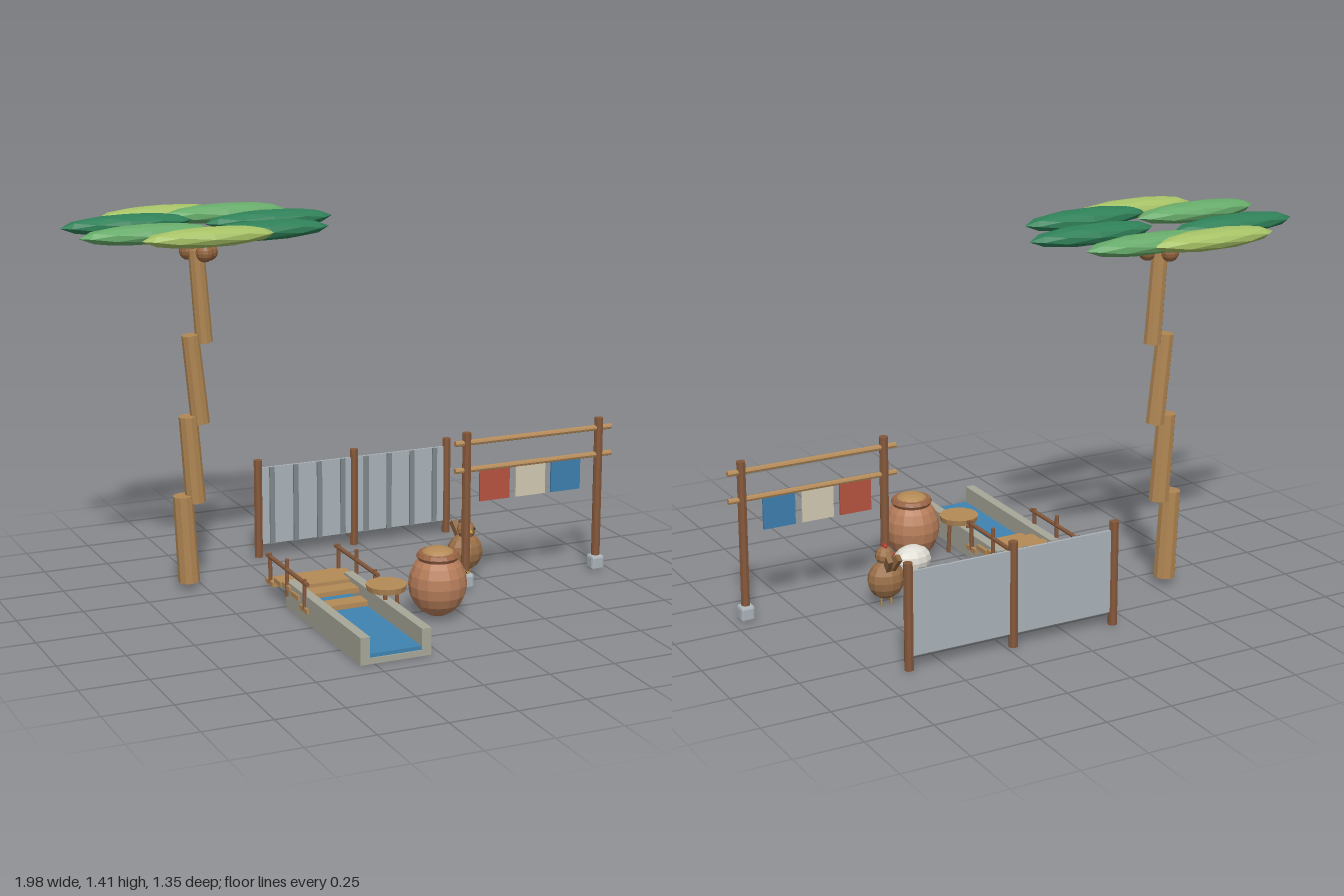
import * as THREE from 'three';
import { RoundedBoxGeometry } from 'three/addons/geometries/RoundedBoxGeometry.js';

const mats = {};
const mat = (color) => (mats[color] ??= new THREE.MeshStandardMaterial({ color, flatShading: true, side: THREE.DoubleSide }));
const TAN = 0xb48a57, BARK = 0xb08653, POST = 0x85583b, STONE = 0xa6a698, IRON = 0xaab2b8, CLAY = 0xb67d5a;

function add(parent, name, geo, color, x = 0, y = 0, z = 0) {
  const m = new THREE.Mesh(geo, mat(color));
  m.name = name;
  m.position.set(x, y, z);
  parent.add(m);
  return m;
}
const box = (p, name, color, w, h, d, x, y, z) => add(p, name, new THREE.BoxGeometry(w, h, d), color, x, y, z);

// Tapered round bar from point a to point b
function rod(p, name, color, a, b, r0, r1 = r0, sides = 8) {
  const va = new THREE.Vector3(...a), vb = new THREE.Vector3(...b);
  const d = vb.clone().sub(va);
  const m = add(p, name, new THREE.CylinderGeometry(r1, r0, d.length(), sides), color);
  m.position.copy(va).add(vb).multiplyScalar(0.5);
  m.quaternion.setFromUnitVectors(new THREE.Vector3(0, 1, 0), d.normalize());
  return m;
}
function ball(p, name, color, x, y, z, rx, ry = rx, rz = rx, w = 12, h = 8) {
  const m = add(p, name, new THREE.SphereGeometry(1, w, h), color, x, y, z);
  m.scale.set(rx, ry, rz);
  return m;
}
function group(parent, name, x = 0, y = 0, z = 0) {
  const g = new THREE.Group();
  g.name = name;
  g.position.set(x, y, z);
  parent.add(g);
  return g;
}

function palmTree(root) {
  const g = group(root, 'palmTree');
  // Four stacked, leaning trunk pieces: bottom x, bottom y, top x, top y, radius
  [[-0.556, 0.03, -0.574, 0.366, 0.041], [-0.524, 0.337, -0.548, 0.668, 0.038],
   [-0.5, 0.638, -0.534, 0.973, 0.035], [-0.48, 0.942, -0.505, 1.29, 0.032]]
    .forEach(([x0, y0, x1, y1, r]) => rod(g, 'trunkSegment', BARK, [x0, y0, -0.347], [x1, y1, -0.347], r, r * 0.93, 10));
  // Coconuts
  [[-0.525, -0.378], [-0.487, -0.304], [-0.463, -0.328]]
    .forEach(([x, z]) => ball(g, 'coconut', 0x94653f, x, 1.28, z, 0.034));
  // Ring of seven fronds
  const greens = [0x2f8058, 0x67ab6a, 0xa6c166];
  for (let i = 0; i < 7; i++) {
    const a = (-i / 7) * Math.PI * 2;
    const leaf = add(g, 'frond', new THREE.IcosahedronGeometry(1, 1), greens[i % 3],
      -0.485 + 0.268 * Math.cos(a), 1.377, -0.353 + 0.268 * Math.sin(a));
    leaf.scale.set(0.25, 0.037, 0.063);
  }
}

function fence(root) {
  const g = group(root, 'fence', 0, 0, -0.587);
  for (const x of [-0.182, 0.224, 0.63]) rod(g, 'fencePost', POST, [x, 0.005, 0], [x, 0.397, 0], 0.017);
  box(g, 'fencePanel', IRON, 0.81, 0.31, 0.01, 0.224, 0.21, 0);
  for (let i = 0; i < 8; i++) box(g, 'panelRib', 0x7d878b, 0.02, 0.31, 0.01, -0.127 + i * 0.1, 0.21, 0.008);
}

function clothesLine(root) {
  const g = group(root, 'clothesLine', 0, 0, 0.075);
  for (const x of [0.39, 0.947]) {
    rod(g, 'linePost', POST, [x, 0.02, 0], [x, 0.606, 0], 0.017);
    add(g, 'postFoot', new RoundedBoxGeometry(0.053, 0.058, 0.053, 1, 0.01), IRON, x, 0.034, 0);
  }
  for (const y of [0.567, 0.463]) rod(g, 'crossPole', TAN, [0.342, y, 0], [1, y, 0], 0.011);
  [0xb5523f, 0xcfc8b0, 0x3d7fae].forEach((c, i) => box(g, 'cloth', c, 0.124, 0.122, 0.008, 0.507 + i * 0.15, 0.397, 0));
}

function waterChannel(root) {
  const g = group(root, 'waterChannel', -0.171, 0, 0.337);
  box(g, 'channelFloor', STONE, 0.268, 0.022, 0.675, 0, 0.016, 0);
  for (const s of [-1, 1]) box(g, 'channelWall', STONE, 0.036, 0.095, 0.675, s * 0.116, 0.057, 0);
  box(g, 'water', 0x3f83b0, 0.196, 0.016, 0.665, 0, 0.033, 0);
}

function bridge(root) {
  const g = group(root, 'bridge', -0.169, 0, 0.018);
  // Gently arched planks
  for (let i = -2; i <= 2; i++)
    box(g, 'plank', TAN, 0.288, 0.018, 0.069, 0, 0.086 - 0.0085 * i * i, i * 0.083);
  // Posts and handrails on both sides
  for (const s of [-1, 1]) {
    const x = s * 0.138;
    for (const z of [-0.167, 0, 0.167])
      rod(g, 'railPost', POST, [x, 0.05, z], [x, z ? 0.165 : 0.192, z], 0.008);
    rod(g, 'handrail', POST, [x, 0.152, -0.195], [x, 0.152, 0.195], 0.008);
  }
}

function stool(root) {
  const g = group(root, 'stool', -0.04, 0, 0.305);
  add(g, 'stoolSeat', new THREE.CylinderGeometry(0.075, 0.07, 0.022, 16), TAN, 0, 0.139, 0);
  for (let i = 0; i < 3; i++) {
    const c = Math.cos((i / 3) * Math.PI * 2), s = Math.sin((i / 3) * Math.PI * 2);
    rod(g, 'stoolLeg', POST, [c * 0.046, 0.004, s * 0.046], [c * 0.04, 0.13, s * 0.04], 0.008);
  }
}

function jar(root) {
  const g = group(root, 'jar', 0.155, 0, 0.322);
  ball(g, 'jarBody', CLAY, 0, 0.132, 0, 0.107, 0.122, 0.107, 16, 10);
  const rim = add(g, 'jarRim', new THREE.TorusGeometry(0.064, 0.015, 6, 16), 0x9c6545, 0, 0.236, 0);
  rim.rotation.x = Math.PI / 2;
  ball(g, 'jarLid', TAN, 0, 0.244, 0, 0.06, 0.024, 0.06, 16, 8);
}

// Hen facing +z; sizes and head offset given per bird
function hen(root, name, color, pos, size, head, headR, tail) {
  const g = group(root, name, ...pos);
  const [hx, hy, hz] = head;
  ball(g, 'henBody', color, 0, 0, 0, ...size);
  ball(g, 'henHead', color, hx, hy, hz, headR, headR, headR, 10, 7);
  ball(g, 'henComb', 0xb83a30, hx, hy + headR, hz, 0.008, 0.011, 0.017, 8, 6);
  const beak = add(g, 'henBeak', new THREE.ConeGeometry(0.01, 0.028, 6), 0xc99a45, hx, hy, hz + headR + 0.008);
  beak.rotation.x = Math.PI / 2;
  for (const s of [-1, 1]) {
    ball(g, 'henEye', 0x2a2520, hx + s * headR * 0.6, hy + 0.008, hz + headR * 0.72, 0.005, 0.005, 0.005, 6, 4);
    rod(g, 'henLeg', 0xb58a3c, [s * 0.02, 0.003 - pos[1], 0], [s * 0.02, -0.03, 0], 0.004, 0.004, 6);
    if (tail) {
      const f = box(g, 'tailFeather', 0x8c6440, 0.018, 0.08, 0.028, s * 0.013, 0.07, -0.045);
      f.rotation.set(-0.62, 0, -s * 0.15);
    }
  }
  return g;
}

export function createModel() {
  const root = new THREE.Group();
  root.name = 'villageYard';
  palmTree(root);
  fence(root);
  clothesLine(root);
  waterChannel(root);
  bridge(root);
  stool(root);
  jar(root);
  hen(root, 'whiteHen', 0xdedbd2, [0.262, 0.092, 0.11], [0.057, 0.056, 0.076], [-0.024, -0.008, 0.07], 0.029, false)
    .rotation.y = Math.PI / 2;
  hen(root, 'brownHen', 0x9a6f48, [0.446, 0.106, -0.044], [0.071, 0.073, 0.058], [0, 0.088, 0.009], 0.036, true);
  return root;
}
